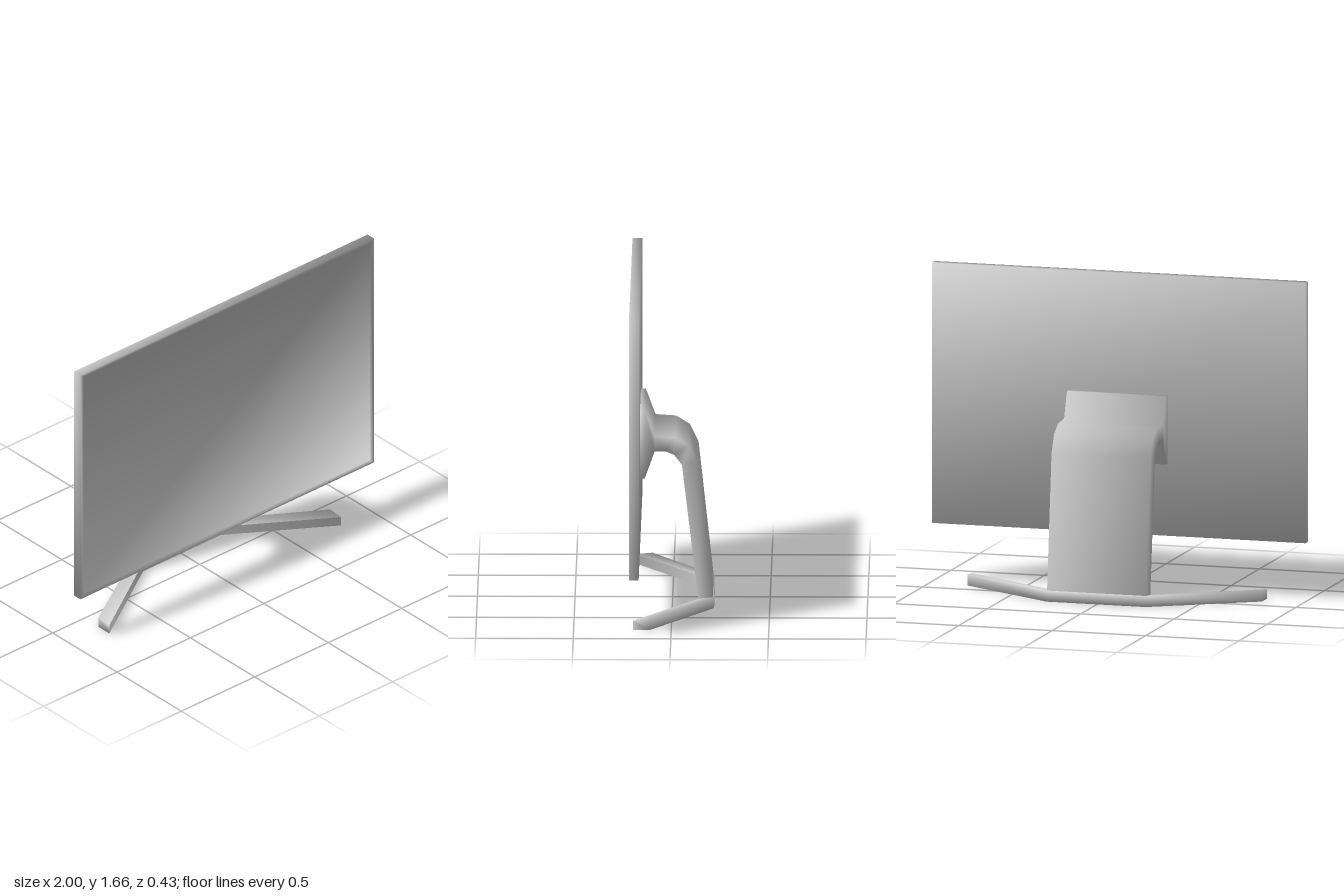
import * as THREE from 'three';

const grey = new THREE.MeshStandardMaterial({ color: 0xcccccc });

function part(name, geometry, x = 0, y = 0, z = 0) {
  const mesh = new THREE.Mesh(geometry, grey);
  mesh.name = name;
  mesh.position.set(x, y, z);
  return mesh;
}

// Closed loft through cross-sections of [x, y, z] points, capped at both ends.
// Every face counts equally in the soft normals; a repeated point makes a sharp edge.
function loft(sections) {
  const n = sections[0].length;
  const points = sections.flat().map((p) => new THREE.Vector3(...p));
  const normals = points.map(() => new THREE.Vector3());
  const index = [];

  function face(ids) {
    const sum = new THREE.Vector3();
    for (let k = 1; k < ids.length - 1; k++) {
      const a = points[ids[0]];
      const ab = points[ids[k]].clone().sub(a);
      const cross = ab.cross(points[ids[k + 1]].clone().sub(a));
      if (cross.length() < 1e-9) continue;
      sum.add(cross);
      index.push(ids[0], ids[k], ids[k + 1]);
    }
    sum.normalize();
    ids.forEach((i) => normals[i].add(sum));
  }

  for (let s = 0; s < sections.length - 1; s++) {
    for (let j = 0; j < n; j++) {
      const a = s * n + j;
      const b = s * n + (j + 1) % n;
      face([a, b, b + n, a + n]);
    }
  }
  const ring = sections[0].map((_, j) => j);
  face([...ring].reverse());
  face(ring.map((j) => j + (sections.length - 1) * n));

  const geo = new THREE.BufferGeometry();
  geo.setAttribute('position', new THREE.Float32BufferAttribute(points.flatMap((p) => p.toArray()), 3));
  geo.setAttribute('normal', new THREE.Float32BufferAttribute(normals.flatMap((v) => v.normalize().toArray()), 3));
  geo.setIndex(index);
  return geo;
}

const rect = (x, y0, y1, z) => [[-x, y0, z], [x, y0, z], [x, y1, z], [-x, y1, z]];

export function createModel() {
  const model = new THREE.Group();
  model.name = 'monitor';

  // Display panel: back, outer rim, thin bezel and recessed screen in one soft-shaded skin
  const display = new THREE.Group();
  display.name = 'display';
  display.add(part('panel', loft([
    rect(1, 0.305, 1.66, 0.165),
    rect(1, 0.305, 1.66, 0.215),
    rect(0.978, 0.325, 1.643, 0.215),
    rect(0.978, 0.325, 1.643, 0.207),
  ])));

  // Small control keys on the lower bezel
  for (const x of [0.69, 0.715, 0.74]) {
    display.add(part('controlKey', new THREE.BoxGeometry(0.014, 0.01, 0.004), x, 0.314, 0.215));
  }
  model.add(display);

  // Wedge mount running into the broad bent neck: [back z, back y, front z, front y]
  const w = 0.265;
  const neck = [
    [0.166, 1.035, 0.166, 0.68], [0.14, 1.035, 0.14, 0.68], [0.09, 0.9, 0.09, 0.82],
    [-0.015, 0.893, 0.03, 0.82], [-0.085, 0.85, -0.01, 0.803], [-0.13, 0.76, -0.05, 0.75],
    [-0.211, 0.03, -0.137, 0.02], [-0.211, 0.01, -0.145, 0.001],
  ].map(([zb, yb, zf, yf]) => [[-w, yf, zf], [-w, yb, zb], [w, yb, zb], [w, yf, zf]]);
  model.add(part('mountAndNeck', loft(neck), 0.004));

  // Base: a rear bar with two forward splayed legs, crisp along the front: [x, back z, front z]
  const base = [
    [-0.789, 0.11, 0.195], [-0.265, -0.215, -0.141], [0.265, -0.215, -0.141], [0.789, 0.11, 0.195],
  ].map(([x, zb, zf]) => [
    [x, 0, zb], [x, 0.057, zb], [x, 0.05, zf], [x, 0.05, zf], [x, 0, zf], [x, 0, zf],
  ]);
  model.add(part('base', loft(base), 0.004));

  return model;
}
